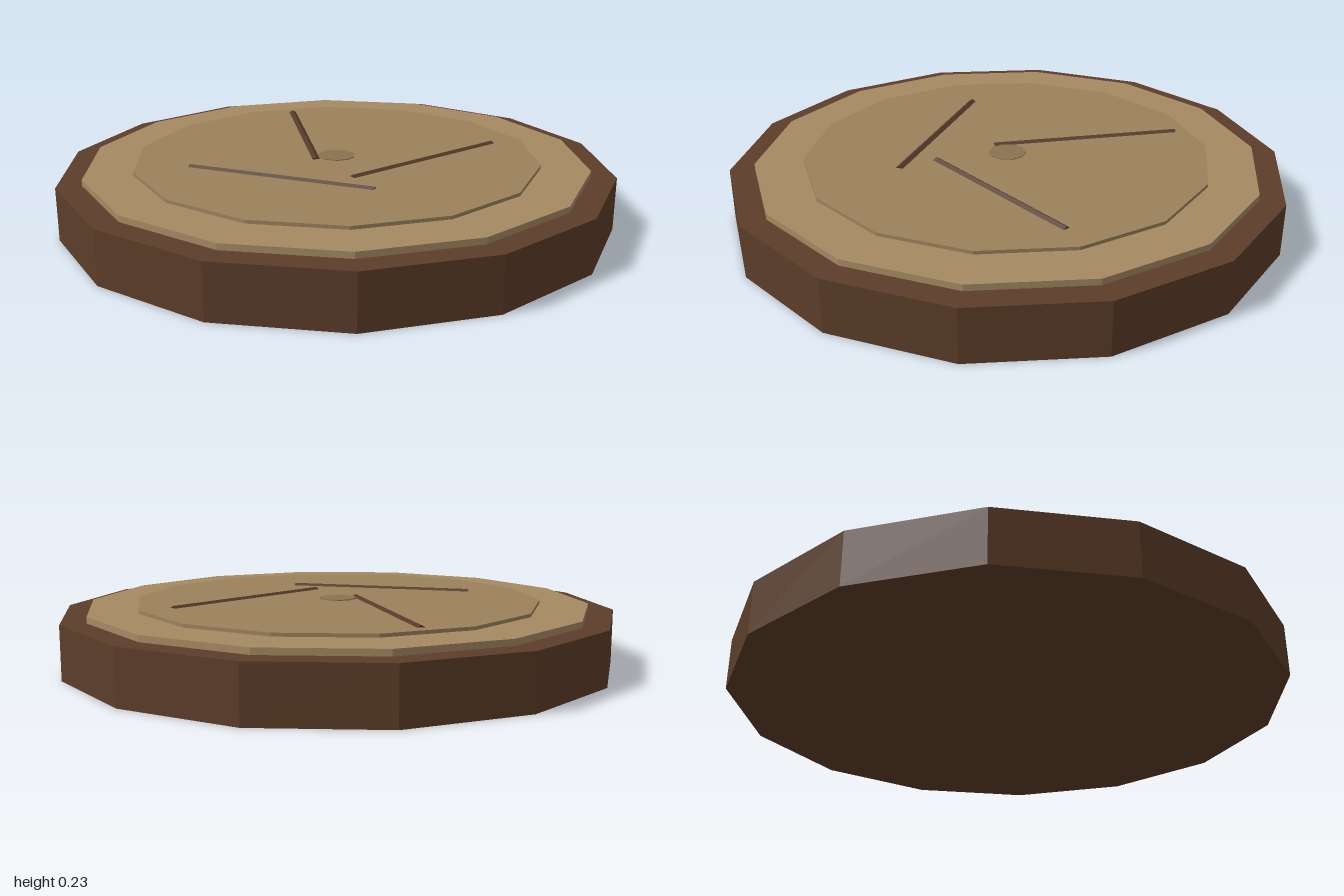
import * as THREE from 'three';

const material = (color) => new THREE.MeshStandardMaterial({ color, flatShading: true });

export function createModel() {
  const group = new THREE.Group();
  const bark = material(0x5c3d28);
  const wood = material(0xa58a62);
  const heartwood = material(0x9c825c);
  const pithWood = material(0x8a7250);
  const crackWood = material(0x553a2a);

  // Upright faceted disc with a corner on the x axis
  function disc(name, radius, bottom, top, sides, mat) {
    const geometry = new THREE.CylinderGeometry(radius, radius, top - bottom, sides, 1, false, Math.PI / 2);
    const mesh = new THREE.Mesh(geometry, mat);
    mesh.name = name;
    mesh.position.y = (bottom + top) / 2;
    group.add(mesh);
  }

  // Log slice: bark, cut face, raised inner ring and pith
  disc('bark', 1, 0, 0.19, 14, bark);
  disc('cutFace', 0.91, 0.18, 0.212, 14, wood);
  disc('innerRing', 0.735, 0.2, 0.224, 14, heartwood);
  disc('pith', 0.068, 0.21, 0.227, 10, pithWood);

  // Thin cracks lying on the cut face, given by end points in x and z
  const cracks = [
    [-0.083, 0.025, 0.0, -0.67],
    [-0.02, 0.262, 0.615, 0.0],
    [-0.535, -0.02, 0.015, 0.405],
  ];
  const radius = 0.018;
  for (const [x1, z1, x2, z2] of cracks) {
    const dx = x2 - x1;
    const dz = z2 - z1;
    const geometry = new THREE.CylinderGeometry(radius, radius, Math.hypot(dx, dz), 6);
    geometry.rotateZ(-Math.PI / 2);
    // Turn a flat facet upward
    geometry.rotateX(Math.PI / 6);
    geometry.rotateY(Math.atan2(-dz, dx));
    geometry.computeBoundingBox();
    const crack = new THREE.Mesh(geometry, crackWood);
    crack.name = 'crack';
    crack.position.set((x1 + x2) / 2, 0.232 - geometry.boundingBox.max.y, (z1 + z2) / 2);
    group.add(crack);
  }

  return group;
}
